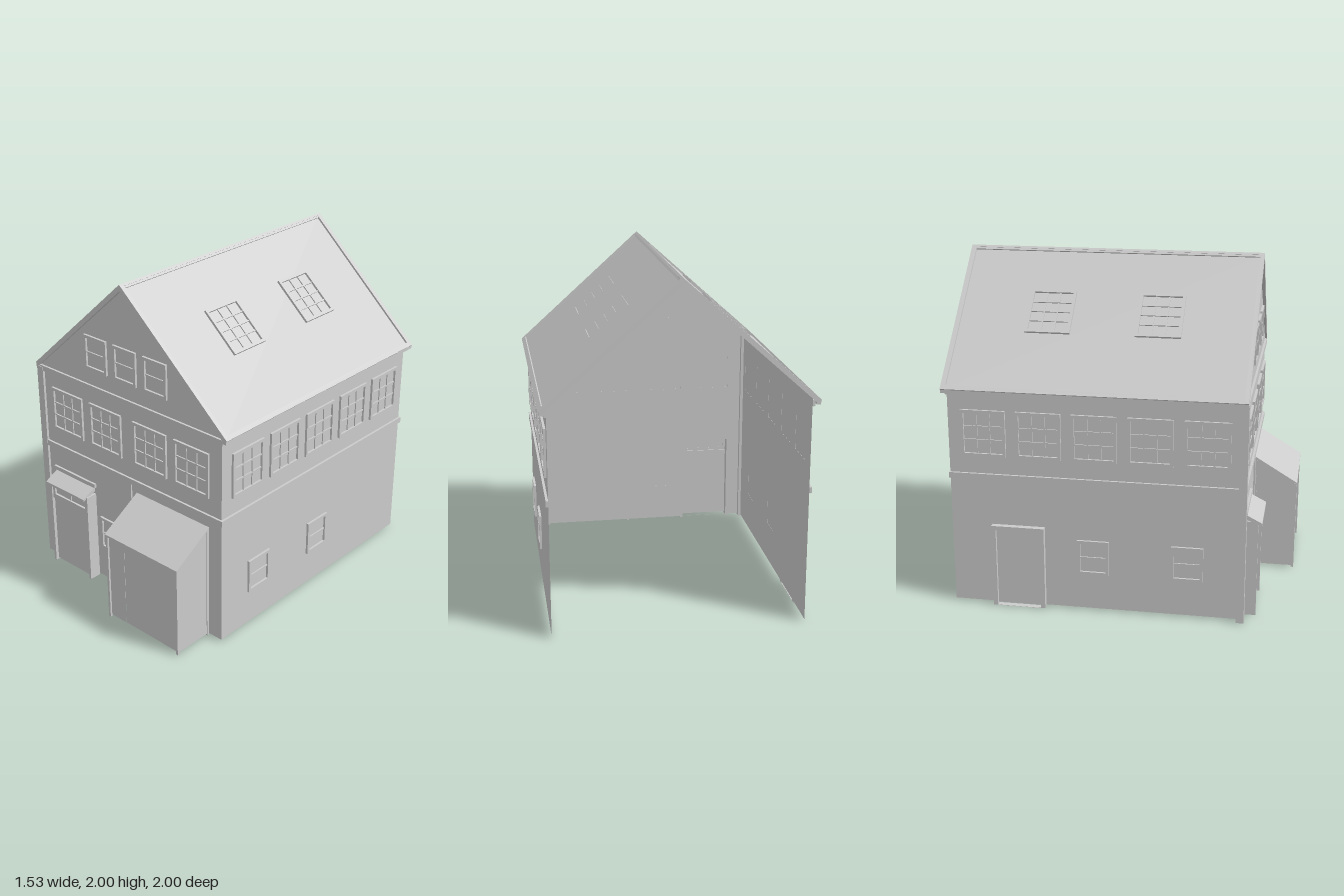
import * as THREE from 'three';

const mat = new THREE.MeshStandardMaterial({ color: 0xcccccc, side: THREE.DoubleSide, flatShading: true });

function add(parent, name, geometry) {
  const mesh = new THREE.Mesh(geometry, mat);
  mesh.name = name;
  parent.add(mesh);
  return mesh;
}

// Box given by its minimum and maximum corners
function box(parent, name, x0, x1, y0, y1, z0, z1) {
  const mesh = add(parent, name, new THREE.BoxGeometry(x1 - x0, y1 - y0, z1 - z0));
  mesh.position.set((x0 + x1) / 2, (y0 + y1) / 2, (z0 + z1) / 2);
  return mesh;
}

const toShape = (pts) => new THREE.Shape(pts.map(([x, y]) => new THREE.Vector2(x, y)));
const rect = (x0, x1, y0, y1) => [[x0, y0], [x1, y0], [x1, y1], [x0, y1]];

// Flat sheet with rectangular openings
function sheet(parent, name, pts, holes = []) {
  const shape = toShape(pts);
  for (const h of holes) shape.holes.push(toShape(rect(...h)));
  return add(parent, name, new THREE.ShapeGeometry(shape));
}

// Extruded outline with a hole, from z0 to z1
function frame(parent, name, outer, inner, z0, z1) {
  const shape = toShape(outer);
  shape.holes.push(toShape(inner));
  const geo = new THREE.ExtrudeGeometry(shape, { depth: z1 - z0, bevelEnabled: false });
  return add(parent, name, geo.translate(0, 0, z0));
}

// Framed window with glazing bars, lying on the plane z = 0
function windowUnit(parent, name, [x0, x1, y0, y1], cols, rows) {
  const g = new THREE.Group();
  g.name = name;
  parent.add(g);
  const b = 0.018, m = 0.004;
  frame(g, 'windowFrame', rect(x0, x1, y0, y1), rect(x0 + b, x1 - b, y0 + b, y1 - b), 0, 0.014);
  sheet(g, 'windowPane', rect(x0, x1, y0, y1)).position.z = 0.001;
  for (let i = 1; i < cols; i++) {
    const x = x0 + b + (x1 - x0 - 2 * b) * i / cols;
    box(g, 'verticalBar', x - m, x + m, y0 + b, y1 - b, 0.001, 0.008);
  }
  for (let i = 1; i < rows; i++) {
    const y = y0 + b + (y1 - y0 - 2 * b) * i / rows;
    box(g, 'horizontalBar', x0 + b, x1 - b, y - m, y + m, 0.001, 0.009);
  }
}

// Wall sheet in its own plane, with windows [bounds, cols, rows] and open doorways
function wall(parent, name, outline, windows, doorways = []) {
  const g = new THREE.Group();
  g.name = name;
  parent.add(g);
  sheet(g, name + 'Sheet', outline, [...windows.map((w) => w[0]), ...doorways]);
  windows.forEach((w) => windowUnit(g, 'window', ...w));
  return g;
}

// Side profile of [z, y] points extruded along x
function prism(parent, name, pts, x0, x1) {
  const geo = new THREE.ExtrudeGeometry(toShape(pts.map(([z, y]) => [-z, y])), { depth: x1 - x0, bevelEnabled: false });
  geo.rotateY(Math.PI / 2).translate(x0, 0, 0);
  return add(parent, name, geo);
}

export function createModel() {
  const house = new THREE.Group();
  house.name = 'house';
  const W = 0.72, F = 0.735, B = -0.96, G = 0.01;

  // Front wall with gable
  const frontWindows = [[[-0.255, -0.08, 0.225, 0.44], 1, 2]];
  for (const x of [-0.635, -0.31, 0.05, 0.37]) frontWindows.push([[x, x + 0.262, 0.915, 1.19], 3, 3]);
  for (const x of [-0.325, -0.09, 0.145]) frontWindows.push([[x, x + 0.18, 1.41, 1.62], 1, 2]);
  const front = wall(house, 'frontWall',
    [[-W, G], [W, G], [W, 1.32], [0, 1.97], [-W, 1.32]], frontWindows, [[-0.62, -0.31, 0.012, 0.56]]);
  front.position.z = F;

  // Side walls, open at the back
  for (const s of [1, -1]) {
    const list = [];
    const span = (z0, z1) => (s > 0 ? [-z1, -z0] : [z0, z1]);
    for (let i = 0; i < 5; i++) {
      const z = -0.885 + i * 0.32;
      list.push([[...span(z, z + 0.26), 0.915, 1.19], 3, 3]);
    }
    for (const z of [-0.22, 0.325]) list.push([[...span(z, z + 0.185), 0.225, 0.435], 1, 2]);
    const side = wall(house, s > 0 ? 'leftWall' : 'rightWall', rect(...span(B, F), G, 1.32), list);
    side.position.x = s * W;
    side.rotation.y = s * Math.PI / 2;
    for (const [y0, y1] of [[0.775, 0.81], [1.275, 1.31]]) {
      box(house, 'sideBand', s > 0 ? W : -W - 0.014, s > 0 ? W + 0.014 : -W, y0, y1, -0.965, 0.747);
    }
    // Side door
    if (s < 0) {
      frame(side, 'sideDoorFrame',
        [[-0.72, 0], [-0.41, 0], [-0.41, 0.5], [-0.72, 0.5]],
        [[-0.695, 0.001], [-0.435, 0.001], [-0.435, 0.475], [-0.695, 0.475]], 0, 0.033);
      box(side, 'sideDoor', -0.695, -0.435, 0.01, 0.475, 0.002, 0.012);
    }
  }

  // Front bands, centre post and corner pipe
  for (const [y0, y1] of [[0.775, 0.81], [1.275, 1.31]]) box(house, 'frontBand', -W, W, y0, y1, F, F + 0.013);
  box(house, 'centrePost', -0.025, 0.022, G, 0.775, F, F + 0.01);
  box(house, 'cornerPipe', -0.752, -0.702, 0, 1.3, 0.705, 0.75);

  // Roof slopes with raised rims and skylights
  const ex = 0.765, ey = 1.315, L = Math.hypot(ex, 2 - ey);
  for (const s of [1, -1]) {
    const turn = new THREE.Group();
    turn.name = s > 0 ? 'leftRoof' : 'rightRoof';
    turn.position.set(s * ex, ey, 0);
    turn.rotation.y = s * Math.PI / 2;
    house.add(turn);
    const slope = new THREE.Group();
    slope.name = 'roofSlope';
    slope.rotation.x = -Math.atan2(ex, 2 - ey);
    turn.add(slope);
    const flip = (pts) => pts.map(([z, v]) => [-s * z, v]);
    const outer = flip([[-0.985, 0], [0.747, 0], [0.76, L], [-0.997, L]]);
    const inner = flip([[-0.957, 0.028], [0.722, 0.028], [0.735, L - 0.015], [-0.967, L - 0.015]]);
    frame(slope, 'roofRim', outer, inner, -0.028, 0);
    sheet(slope, 'roofSheet', outer).position.z = -0.012;
    for (const z of [-0.57, 0.07]) {
      const u = s > 0 ? -z - 0.265 : z;
      const sky = new THREE.Group();
      sky.name = 'skylight';
      sky.position.z = -0.011;
      slope.add(sky);
      windowUnit(sky, 'skylightWindow', [u, u + 0.265, 0.41, 0.71], 3, 4);
    }
    // Eave gutter
    box(house, 'eaveGutter', s > 0 ? 0.735 : -0.76, s > 0 ? 0.76 : -0.735, 1.29, 1.316, -0.985, 0.747);
  }

  // Lean-to porch
  const porch = new THREE.Group();
  porch.name = 'porch';
  house.add(porch);
  prism(porch, 'porchRoof', [[F, 0.727], [1.0, 0.567], [1.0, 0.555], [F, 0.715]], 0.06, 0.628);
  sheet(porch, 'porchFront', [[0.07, G], [0.2, G], [0.2, 0.5], [0.5, 0.5], [0.5, G], [0.615, G], [0.615, 0.56], [0.07, 0.56]])
    .position.z = 0.985;
  box(porch, 'porchDoor', 0.2, 0.5, G, 0.5, 0.975, 0.983);
  for (const [x0, x1] of [[0.063, 0.078], [0.61, 0.625]]) {
    prism(porch, 'porchSide', [[F, G], [0.985, G], [0.985, 0.565], [F, 0.715]], x0 + 0.004, x1 - 0.004);
    box(porch, 'porchPost', x0, x1, 0, 0.56, 0.98, 0.997);
    box(porch, 'porchWallPost', x0, x1, 0, 0.715, F, 0.75);
  }

  // Entrance with hood and transom
  const entry = new THREE.Group();
  entry.name = 'entrance';
  house.add(entry);
  for (const [x0, x1] of [[-0.635, -0.618], [-0.312, -0.295]]) {
    box(entry, 'entryJamb', x0, x1, 0, 0.58, F, 0.81);
  }
  box(entry, 'entryDoor', -0.618, -0.312, G, 0.455, 0.782, 0.79);
  box(entry, 'doorLintel', -0.618, -0.312, 0.455, 0.47, 0.78, 0.8);
  const transom = new THREE.Group();
  transom.name = 'transom';
  transom.position.z = 0.786;
  entry.add(transom);
  windowUnit(transom, 'transomWindow', [-0.618, -0.312, 0.47, 0.57], 2, 1);
  prism(entry, 'entryHood', [[F, 0.625], [0.832, 0.575], [0.832, 0.56], [F, 0.595]], -0.64, -0.303);
  box(entry, 'hoodBoard', -0.655, -0.29, 0.625, 0.65, F, F + 0.014);
  return house;
}
